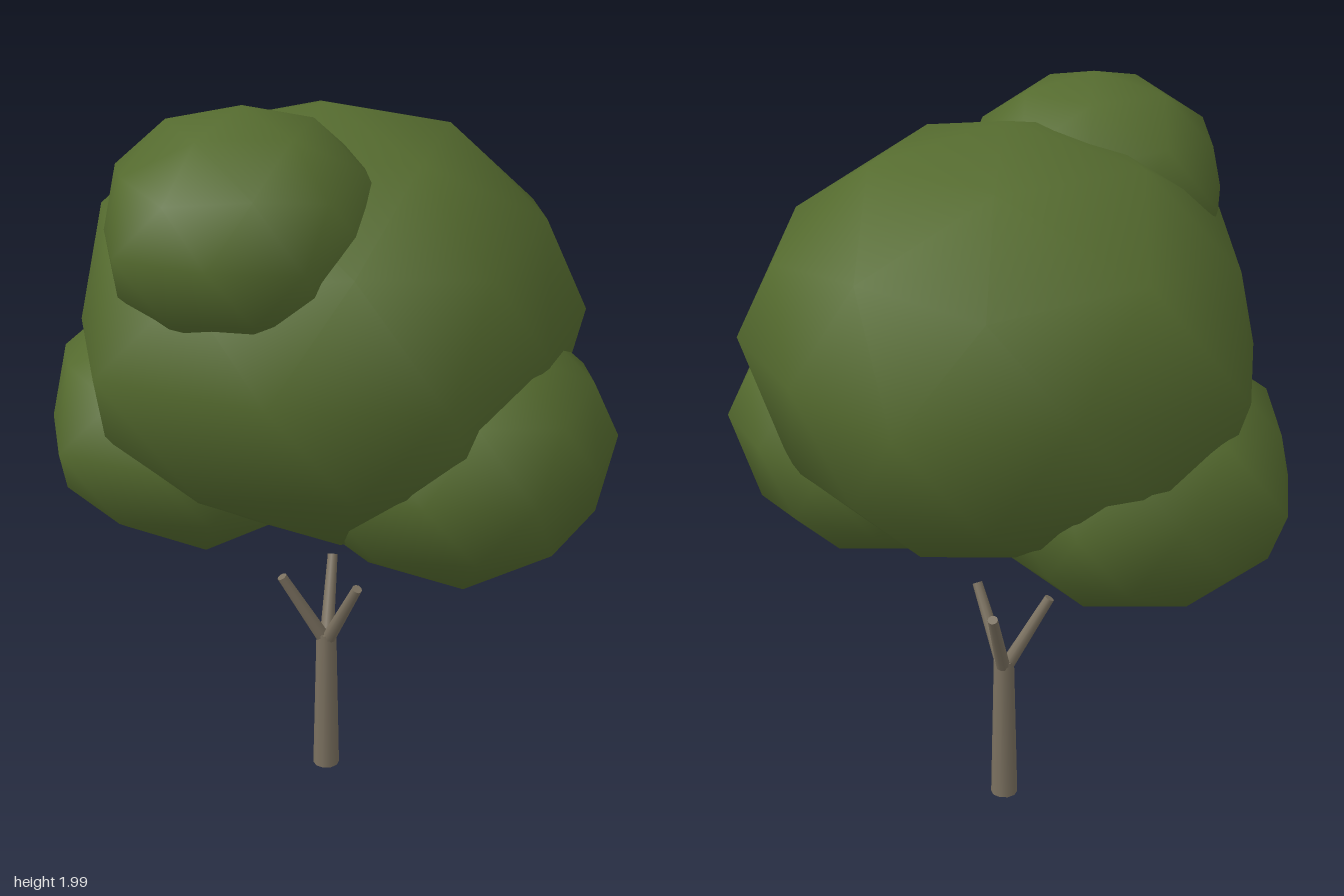
import * as THREE from 'three';
import { mergeVertices } from 'three/addons/utils/BufferGeometryUtils.js';

// Horizontal outline of a leaf clump [x, z], one point every 36 degrees from the front
const OUTLINE = [
  [0, 0.68], [0.43, 0.49], [0.72, 0.17], [0.61, -0.27], [0.40, -0.62],
  [0, -0.69], [-0.43, -0.66], [-0.60, -0.26], [-0.71, 0.17], [-0.39, 0.45],
];
const HEIGHT = 0.57, POLE_Z = -0.05;

// Low-poly ball with its pole upright, warped to the irregular outline
function clumpGeometry() {
  let g = new THREE.IcosahedronGeometry(1, 1);
  g.rotateX(-Math.atan((1 + Math.sqrt(5)) / 2));
  g.rotateY(Math.PI / 10);
  g.deleteAttribute('uv');
  g.deleteAttribute('normal');
  g = mergeVertices(g, 1e-3);
  const p = g.attributes.position;
  const step = Math.PI / 5;
  for (let i = 0; i < p.count; i++) {
    const x = p.getX(i), y = p.getY(i), z = p.getZ(i);
    const t = ((Math.atan2(x, z) + 2 * Math.PI) / step) % 10;
    const k = Math.floor(t), f = t - k;
    const a = OUTLINE[k % 10], b = OUTLINE[(k + 1) % 10];
    // round out the points that lie between two outline points
    const r = Math.hypot(x, z) * Math.cos(step / 2) ** -(4 * f * (1 - f));
    p.setXYZ(i,
      r * (a[0] + (b[0] - a[0]) * f),
      y * HEIGHT,
      POLE_Z + r * (a[1] + (b[1] - a[1]) * f - POLE_Z));
  }
  g.computeVertexNormals();
  return g;
}

// Tapered round limb between two points
function limb(name, from, to, r0, r1, material) {
  const a = new THREE.Vector3(...from), b = new THREE.Vector3(...to);
  const dir = b.clone().sub(a);
  const mesh = new THREE.Mesh(new THREE.CylinderGeometry(r1, r0, dir.length(), 10), material);
  mesh.position.copy(a).add(b).multiplyScalar(0.5);
  mesh.quaternion.setFromUnitVectors(new THREE.Vector3(0, 1, 0), dir.normalize());
  mesh.name = name;
  return mesh;
}

export function createModel() {
  const tree = new THREE.Group();
  tree.name = 'tree';
  const leaf = new THREE.MeshStandardMaterial({ color: 0x556b2f });
  leaf.name = 'leaf green';
  const bark = new THREE.MeshStandardMaterial({ color: 0x7a705f });
  bark.name = 'bark brown';

  // Foliage: one clump shape at several sizes
  const clump = clumpGeometry();
  const clumps = [
    ['mainFoliage', -0.03, 1.36, 0, 1],
    ['topFoliage', 0.07, 1.69, 0.32, 0.53],
    ['rightFoliage', -0.325, 1.045, 0.18, 0.62],
    ['leftFoliage', 0.30, 1.07, -0.17, 0.64],
  ];
  for (const [name, x, y, z, s] of clumps) {
    const mesh = new THREE.Mesh(clump, leaf);
    mesh.name = name;
    mesh.position.set(x, y, z);
    mesh.scale.setScalar(s);
    tree.add(mesh);
  }

  // Trunk and three forked branches
  tree.add(limb('trunk', [-0.03, 0, -0.06], [-0.03, 0.42, -0.06], 0.037, 0.028, bark));
  const tips = [[0.1, -0.06], [-0.09, 0.05], [-0.11, -0.15]];
  tips.forEach(([x, z], i) => {
    tree.add(limb('branch' + (i + 1), [-0.03, 0.39, -0.06], [x, 0.605, z], 0.02, 0.014, bark));
  });
  return tree;
}
